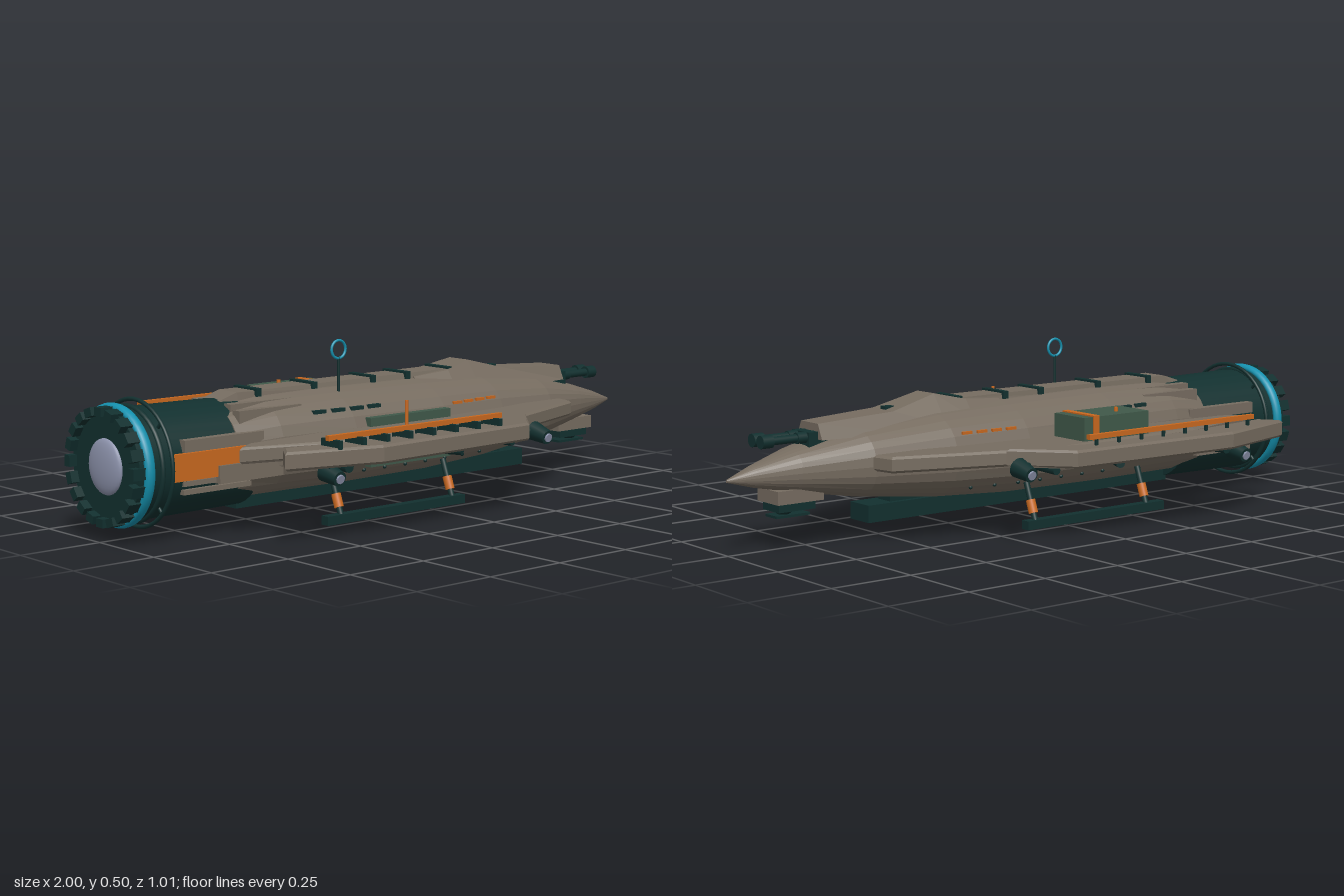
import * as THREE from 'three';

const paint = (name, color) => Object.assign(new THREE.MeshStandardMaterial({ color }), { name });
const armour = paint('warm grey armour', 0x766c60);
const dark = paint('dark teal metal', 0x12302f);
const teal = paint('bright teal', 0x1591ae);
const orange = paint('orange', 0xc8681f);
const green = paint('green panel', 0x40594a);
const pale = paint('pale glow', 0x8d93ac);
armour.flatShading = true;

// Hull stations: x, centre height, half height, half width
const STATIONS = [
  [-0.64, 0.21, 0.135, 0.155], [-0.5, 0.218, 0.142, 0.178], [-0.25, 0.22, 0.144, 0.2], [0.1, 0.22, 0.14, 0.2],
  [0.35, 0.222, 0.128, 0.18], [0.6, 0.222, 0.1, 0.138], [0.8, 0.217, 0.06, 0.075], [0.92, 0.211, 0.03, 0.033], [1, 0.207, 0.004, 0.004],
];
const POWER = 0.85;

export function createModel() {
  const model = new THREE.Group();
  model.name = 'spaceship';

  const add = (name, geometry, material) => {
    const mesh = new THREE.Mesh(geometry, material);
    mesh.name = name;
    model.add(mesh);
    return mesh;
  };
  const box = (name, mat, x0, x1, y0, y1, z0, z1) => {
    const g = new THREE.BoxGeometry(Math.abs(x1 - x0), Math.abs(y1 - y0), Math.abs(z1 - z0));
    return add(name, g.translate((x0 + x1) / 2, (y0 + y1) / 2, (z0 + z1) / 2), mat);
  };
  // Round bar between two points
  const bar = (name, mat, a, b, r0, r1 = r0, sides = 12) => {
    const p = new THREE.Vector3(...a), d = new THREE.Vector3(...b).sub(p);
    const mesh = add(name, new THREE.CylinderGeometry(r1, r0, d.length(), sides), mat);
    mesh.position.copy(p).addScaledVector(d, 0.5);
    mesh.quaternion.setFromUnitVectors(new THREE.Vector3(0, 1, 0), d.normalize());
    return mesh;
  };
  // Skin over cross-sections running towards +x, each a ring of [x, y, z]
  const loft = (rings) => {
    const v = [], n = rings[0].length;
    const tri = (...p) => p.forEach((q) => v.push(...q));
    for (let i = 0; i + 1 < rings.length; i++) {
      for (let j = 0; j < n; j++) {
        const k = (j + 1) % n, [A, B] = [rings[i], rings[i + 1]];
        tri(A[j], A[k], B[k]);
        tri(A[j], B[k], B[j]);
      }
    }
    const first = rings[0], last = rings[rings.length - 1];
    for (let j = 1; j + 1 < n; j++) {
      tri(first[0], first[j + 1], first[j]);
      tri(last[0], last[j], last[j + 1]);
    }
    const g = new THREE.BufferGeometry();
    g.setAttribute('position', new THREE.Float32BufferAttribute(v, 3));
    g.computeVertexNormals();
    return g;
  };
  // Bevelled horizontal slab from an outline in x, z
  const slab = (name, outline, y0, y1, side) => {
    const bevel = 0.007;
    const shape = new THREE.Shape(outline.map(([x, z]) => new THREE.Vector2(x, -z * side)));
    const g = new THREE.ExtrudeGeometry(shape, {
      depth: y1 - y0 - 2 * bevel, bevelThickness: bevel, bevelSize: bevel, bevelOffset: -bevel, bevelSegments: 1,
    });
    return add(name, g.rotateX(-Math.PI / 2).translate(0, y0 + bevel, 0), armour);
  };
  // Half width of the hull at a given x and height
  const hullZ = (x, y) => {
    const i = Math.max(1, STATIONS.findIndex((s) => s[0] >= x));
    const a = STATIONS[i - 1], b = STATIONS[i], t = (x - a[0]) / (b[0] - a[0]);
    const [, cy, ry, rz] = a.map((q, k) => q + (b[k] - q) * t);
    return rz * Math.pow(Math.max(0, 1 - Math.pow(Math.abs(y - cy) / ry, 2 / POWER)), POWER / 2);
  };

  // Main hull
  const soft = (q) => Math.sign(q) * Math.pow(Math.abs(q), POWER);
  add('hull', loft(STATIONS.map(([x, cy, ry, rz]) => Array.from({ length: 28 }, (_, j) => {
    const a = (j / 28) * Math.PI * 2;
    return [x, cy + ry * soft(Math.sin(a)), -rz * soft(Math.cos(a))];
  }))), armour);

  // Dorsal spine with bands, and the gun housing ahead of it
  const ridge = (name, rows) => add(name, loft(rows.map(([x, y0, y1, top, base]) =>
    [[x, y0, -base], [x, y1, -top], [x, y1, top], [x, y0, base]])), armour);
  ridge('spine', [[-0.62, 0.33, 0.355, 0.04, 0.05], [-0.56, 0.33, 0.374, 0.042, 0.05], [0.25, 0.33, 0.374, 0.042, 0.055]]);
  for (const x of [-0.49, -0.285, -0.06, 0.075, 0.245]) box('spineBand', dark, x - 0.009, x + 0.009, 0.34, 0.38, -0.052, 0.052);
  ridge('gunHousing', [[0.1, 0.32, 0.362, 0.05, 0.09], [0.23, 0.32, 0.372, 0.06, 0.1], [0.33, 0.31, 0.394, 0.04, 0.1],
    [0.48, 0.3, 0.357, 0.05, 0.095], [0.73, 0.3, 0.344, 0.042, 0.062]]);
  box('housingHatch', dark, 0.45, 0.48, 0.35, 0.366, -0.012, 0.012);

  // Twin nose guns
  box('gunMount', dark, 0.68, 0.76, 0.27, 0.322, -0.042, 0.042);
  for (const z of [-0.022, 0.022]) {
    bar('gunBarrel', dark, [0.72, 0.307, z], [0.89, 0.307, z], 0.012);
    bar('gunMuzzle', dark, [0.87, 0.307, z], [0.905, 0.307, z], 0.019);
    bar('gunSleeve', dark, [0.72, 0.307, z], [0.79, 0.307, z], 0.016);
  }

  // Chin sensor
  box('chinHousing', armour, 0.72, 0.87, 0.132, 0.17, -0.053, 0.053);
  add('chinSensor', new THREE.SphereGeometry(0.03, 16, 12).translate(0.82, 0.122, 0), dark);
  box('chinPlate', dark, 0.75, 0.86, 0.09, 0.097, -0.028, 0.028);
  box('chinBracket', dark, 0.74, 0.86, 0.108, 0.134, -0.04, 0.04);

  // Keel
  box('keel', dark, -0.57, 0.565, 0.045, 0.095, -0.045, 0.045);
  box('keelRoot', dark, -0.6, 0.48, 0.09, 0.125, -0.03, 0.03);

  // Engine
  const E = 0.205;
  bar('engineBody', dark, [-0.975, E, 0], [-0.56, E, 0], 0.158, 0.153, 36);
  const ring = (name, mat, x, r, tube, stretch) => add(name,
    new THREE.TorusGeometry(r, tube, 10, 48).rotateY(Math.PI / 2).scale(stretch, 1, 1).translate(x, E, 0), mat);
  ring('glowRing', teal, -0.945, 0.161, 0.011, 1.5);
  ring('engineHoop', dark, -0.88, 0.176, 0.006, 1);
  ring('engineCollar', dark, -0.9, 0.158, 0.008, 1);
  for (let i = 0; i < 20; i++) {
    const a = (i / 20) * Math.PI * 2;
    const tooth = add('nozzleTooth', new THREE.BoxGeometry(0.05, 0.024, 0.032), dark);
    tooth.position.set(-0.975, E + 0.152 * Math.cos(a), 0.152 * Math.sin(a));
    tooth.rotation.x = a;
  }
  for (let i = 0; i < 4; i++) {
    const a = Math.PI / 4 + (i * Math.PI) / 2, c = Math.cos(a), s = Math.sin(a);
    bar('hoopPost', dark, [-0.88, E + 0.15 * c, 0.15 * s], [-0.88, E + 0.176 * c, 0.176 * s], 0.005);
  }
  add('engineGlow', new THREE.SphereGeometry(0.078, 24, 16).scale(0.25, 1, 1).translate(-0.975, E, 0), pale);
  box('enginePanel', orange, -0.87, -0.62, 0.17, 0.245, 0.142, 0.164);

  for (const s of [1, -1]) {
    // Armour strips reaching back over the engine
    box('upperStrip', armour, -0.83, -0.56, 0.247, 0.28, s * 0.13, s * 0.163);
    box('lowerStrip', armour, -0.72, -0.5, 0.15, 0.2, s * 0.13, s * 0.172);
    for (const y of [0.13, 0.153]) box('ventBar', armour, -0.83, -0.6, y, y + 0.014, s * 0.12, s * 0.156);
    for (const z of [0.06, 0.1]) box('topStrip', armour, -0.62, -0.4, 0.3, 0.35 - (z - 0.06) * 0.35, s * z, s * (z + 0.03));

    // Side pods
    slab('innerPod', [[-0.716, 0.254], [-0.65, 0.206], [-0.3, 0.18], [0.3, 0.15], [0.62, 0.15], [0.605, 0.217],
      [0.166, 0.368], [-0.41, 0.345]], 0.214, 0.26, s);
    slab('outerPod', [[-0.697, 0.425], [-0.652, 0.36], [-0.305, 0.404], [0.07, 0.398], [0.294, 0.33], [0.16, 0.479],
      [-0.417, 0.503]], 0.214, 0.266, s);

    // Struts carrying the pods
    bar('rearStrut', dark, [-0.46, 0.2, s * 0.15], [-0.47, 0.2, s * 0.42], 0.015);
    bar('middleStrut', dark, [-0.16, 0.2, s * 0.18], [-0.05, 0.2, s * 0.42], 0.013);
    bar('frontStrut', dark, [0.15, 0.2, s * 0.18], [0.17, 0.2, s * 0.4], 0.012);

    // Thrusters on the outer pods
    for (const [x, y, z] of [[0.285, 0.218, 0.37], [-0.525, 0.192, 0.385]]) {
      bar('thruster', dark, [x, y, s * z], [x, y - 0.014, s * (z + 0.06)], 0.029, 0.021, 16);
      bar('thrusterLens', pale, [x, y - 0.0135, s * (z + 0.058)], [x, y - 0.0155, s * (z + 0.065)], 0.013);
    }
    bar('thrusterArm', dark, [0.24, 0.225, s * 0.37], [0.285, 0.215, s * 0.385], 0.008);
    box('thrusterMount', dark, -0.54, -0.51, 0.19, 0.22, s * 0.385, s * 0.42);

    // Orange rail along the outer pod
    box('podRail', orange, -0.56, 0.085, 0.284, 0.298, s * 0.428, s * 0.442);
    for (let i = 0; i < 8; i++) {
      const x = -0.54 + i * 0.085;
      if (s > 0) box('podRib', dark, x - 0.006, x + 0.006, 0.262, 0.286, 0.392, 0.468);
      else box('railPost', dark, x - 0.004, x + 0.004, 0.262, 0.286, -0.439, -0.431);
    }

    // Landing skid
    box('skid', dark, -0.39, 0.138, 0, 0.026, s * 0.205, s * 0.234);
    for (const x of [-0.33, 0.1]) {
      bar('skidLeg', dark, [x, 0.13, s * 0.178], [x, 0.02, s * 0.22], 0.009);
      bar('legCuff', orange, [x, 0.08, s * 0.197], [x, 0.043, s * 0.211], 0.014);
    }

    // Painted dashes and vents along the hull
    for (let i = 0; i < 4; i++) {
      const x = 0.14 + i * 0.05, z = hullZ(x, 0.293);
      box('hullDash', orange, x, x + 0.034, 0.289, 0.297, s * (z - 0.002), s * (z + 0.006));
      const u = -0.38 + i * 0.065, w = hullZ(u, 0.312);
      box('hullVent', dark, u, u + 0.045, 0.307, 0.317, s * (w - 0.012), s * (w + 0.008));
    }
    for (let i = 0; i < 7; i++) {
      const x = -0.2 + i * 0.08;
      add('rivet', new THREE.SphereGeometry(0.006, 8, 6).translate(x, 0.13, s * hullZ(x, 0.13)), dark);
    }
  }

  // Green side panel and its bolts
  box('sidePanel', green, -0.21, 0.1, 0.143, 0.285, 0.185, 0.211);
  for (let i = 0; i < 5; i++) box('panelBolt', dark, -0.18 + i * 0.06, -0.174 + i * 0.06, 0.158, 0.164, 0.21, 0.214);
  bar('podPeg', orange, [-0.145, 0.255, 0.29], [-0.145, 0.34, 0.29], 0.005);

  // Cargo crate on the far pod
  box('crate', green, -0.228, 0.018, 0.25, 0.328, -0.34, -0.207);
  box('crateBand', orange, -0.036, -0.014, 0.25, 0.332, -0.344, -0.203);
  bar('cratePeg', orange, [-0.145, 0.32, -0.29], [-0.145, 0.34, -0.29], 0.006);

  // Loop antenna
  bar('antennaMast', dark, [-0.23, 0.33, 0.092], [-0.23, 0.45, 0.092], 0.004);
  add('antennaLoop', new THREE.TorusGeometry(0.026, 0.004, 8, 28).translate(-0.23, 0.474, 0.092), teal);

  return model;
}
